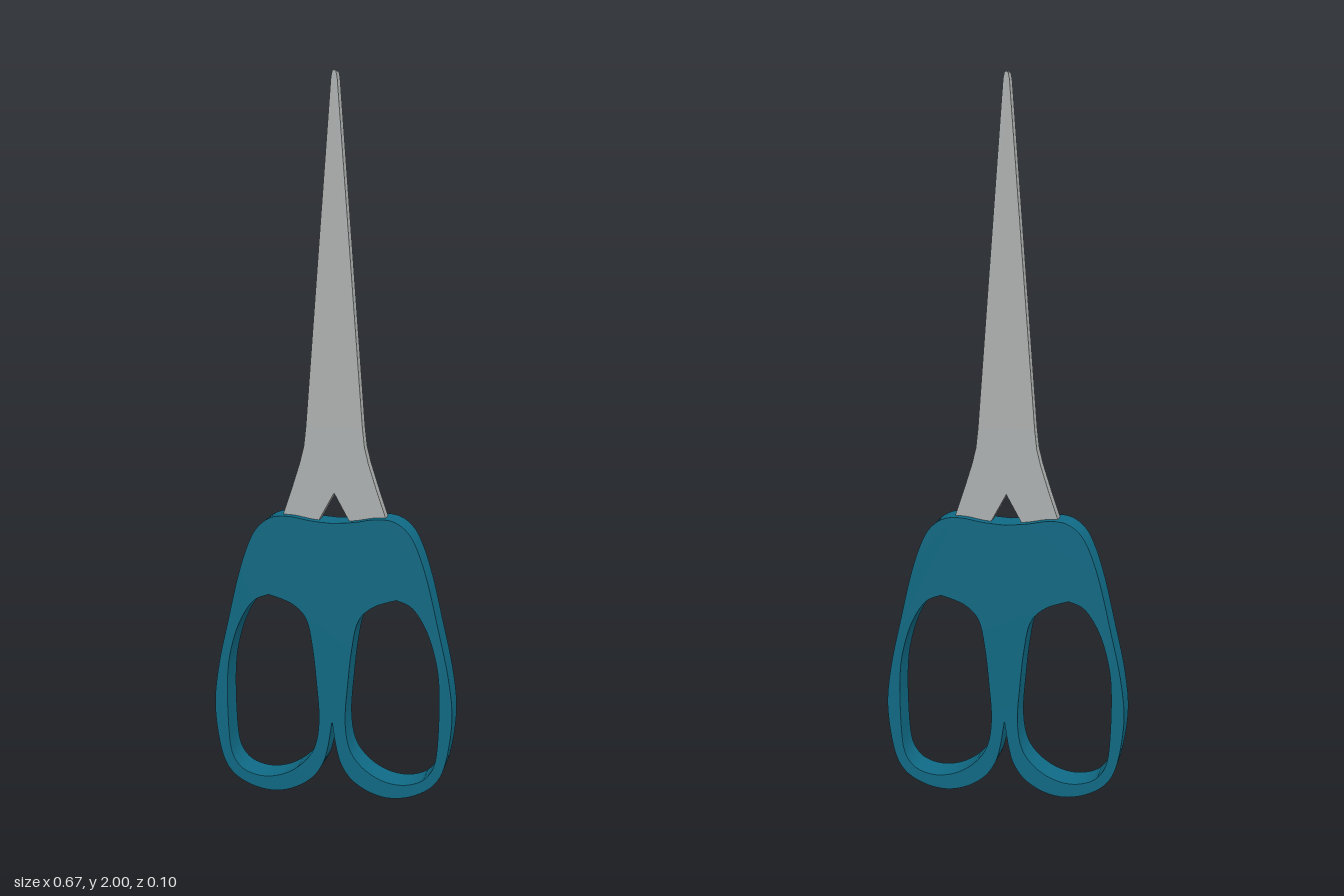
import * as THREE from 'three';
import { toCreasedNormals } from 'three/addons/utils/BufferGeometryUtils.js';

const V = (p) => new THREE.Vector2(p[0], p[1]);
const mirror = (pts) => pts.map(([x, y]) => [-x, y]);

// Flat plate centred on z = 0, smooth along its curved rim
function plate(shape, depth, name, material) {
  const geo = new THREE.ExtrudeGeometry(shape, { depth, bevelEnabled: false, curveSegments: 12 });
  geo.translate(0, 0, -depth / 2);
  const mesh = new THREE.Mesh(toCreasedNormals(geo, 0.6), material);
  mesh.name = name;
  return mesh;
}

export function createModel() {
  const handleTeal = new THREE.MeshStandardMaterial({ color: 0x0f6a85 });
  handleTeal.name = 'handleTeal';
  const bladeGrey = new THREE.MeshStandardMaterial({ color: 0xb0b3b3 });
  bladeGrey.name = 'bladeGrey';

  // Handle rim: half outline from the crotch between the loops up to the top
  const half = [
    [0, 0.215], [0.012, 0.14], [0.027, 0.09], [0.058, 0.047], [0.11, 0.015], [0.17, 0.003],
    [0.235, 0.016], [0.29, 0.052], [0.32, 0.115], [0.337, 0.24], [0.325, 0.36], [0.297, 0.49],
    [0.267, 0.62], [0.238, 0.71], [0.21, 0.76], [0.17, 0.788], [0.12, 0.792], [0.06, 0.782], [0, 0.777],
  ];
  const rightHalf = new THREE.SplineCurve(half.map(V)).getPoints(90);
  const leftHalf = rightHalf.slice(1, -1).reverse().map((p) => V([-p.x, p.y]));
  const handleShape = new THREE.Shape([...rightHalf, ...leftHalf]);

  // Finger holes
  const hole = [
    [0.18, 0.569], [0.225, 0.548], [0.265, 0.485], [0.29, 0.405], [0.3, 0.33], [0.3, 0.22],
    [0.292, 0.12], [0.27, 0.073], [0.235, 0.05], [0.185, 0.043], [0.13, 0.057], [0.08, 0.092],
    [0.048, 0.142], [0.037, 0.22], [0.044, 0.32], [0.055, 0.42], [0.073, 0.503], [0.115, 0.546],
  ];
  for (const pts of [hole, mirror(hole)]) {
    const curve = new THREE.SplineCurve([...pts, pts[0]].map(V));
    handleShape.holes.push(new THREE.Path(curve.getPoints(90).slice(0, -1)));
  }

  // Closed blades: tapered point, flared base with a V notch
  const side = [
    [0.048, 0.77], [0.145, 0.77], [0.145, 0.79], [0.118, 0.87], [0.096, 0.94],
    [0.085, 0.985], [0.079, 1.04], [0.0085, 1.98], [0.005, 1.997],
  ];
  const bladeShape = new THREE.Shape([[0, 0.857], ...side, [0, 2], ...mirror(side).reverse()].map(V));

  const model = new THREE.Group();
  model.name = 'scissors';
  model.add(plate(handleShape, 0.096, 'handle', handleTeal));
  model.add(plate(bladeShape, 0.04, 'blades', bladeGrey));
  return model;
}
